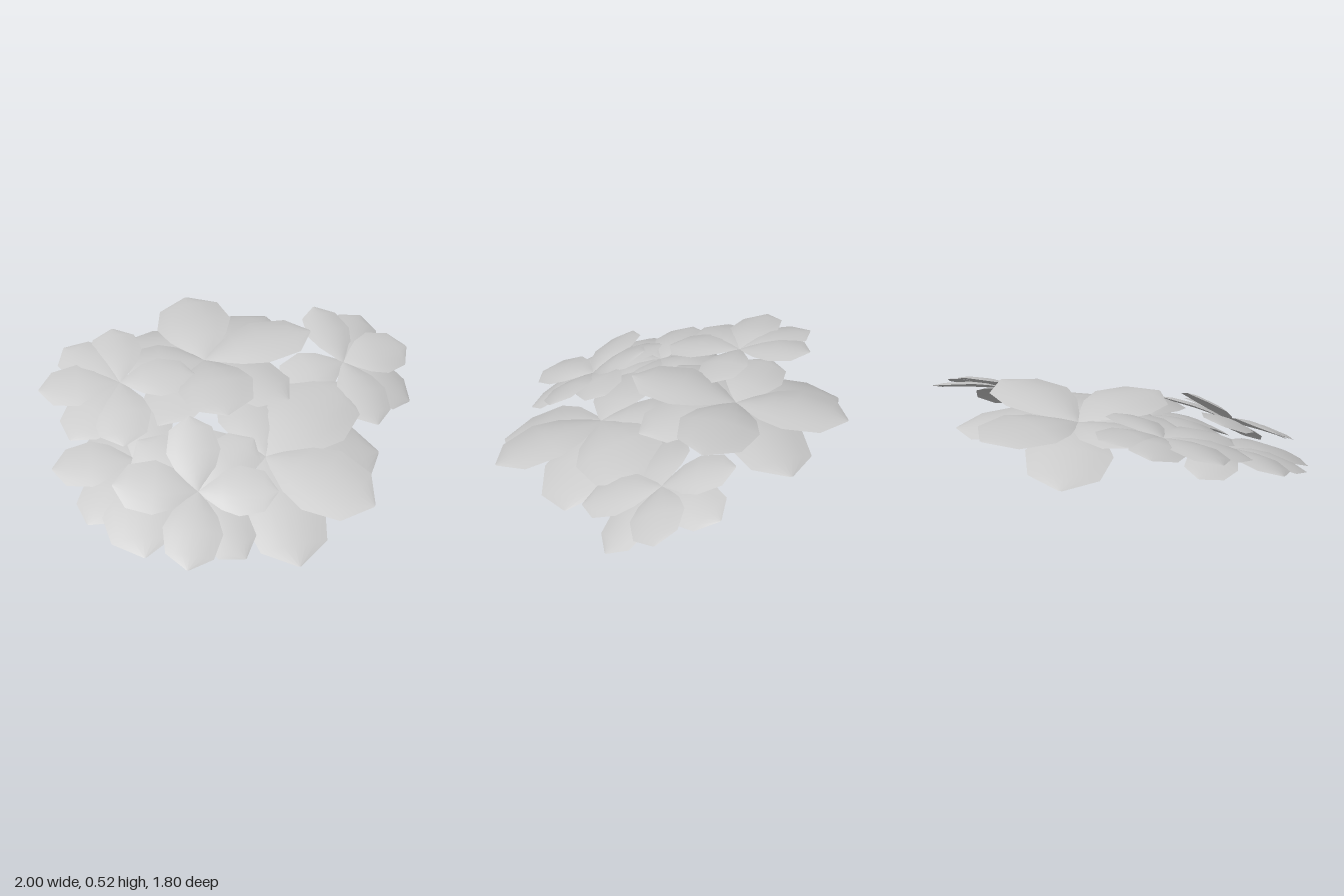
import * as THREE from 'three';

const V = (a) => new THREE.Vector3(...a);

// Each flower: centre, then petal tips in order around it (seen from above, counter-clockwise)
const FLOWERS = {
  backFlower: {
    centre: [-0.08, 0.4, -0.33],
    tips: [[0.49, 0.49, -0.27], [0.4, 0.36, -0.68], [0.01, 0.44, -0.9], [-0.4, 0.28, -0.82],
      [-0.51, 0.4, -0.44], [-0.45, 0.33, 0.04], [-0.15, 0.44, 0.22], [0.22, 0.36, 0.1]],
  },
  frontFlower: {
    centre: [0, 0.24, 0.35],
    tips: [[0.6, 0.13, 0.38], [0.56, 0.33, 0.03], [0.02, 0.36, -0.12], [-0.5, 0.25, 0.23],
      [-0.04, 0.005, 0.9], [0.38, 0.17, 0.8]],
  },
  leftFlower: {
    centre: [0.61, 0.37, -0.1],
    tips: [[1.0, 0.35, -0.15], [0.85, 0.42, -0.42], [0.58, 0.52, -0.44], [0.22, 0.35, -0.04],
      [0.64, 0.22, 0.28], [0.91, 0.18, 0.1]],
  },
  rightBackFlower: {
    centre: [-0.55, 0.41, -0.27],
    tips: [[-0.18, 0.43, -0.18], [-0.48, 0.49, -0.65], [-0.75, 0.45, -0.62], [-0.95, 0.4, -0.36],
      [-0.88, 0.31, -0.02], [-0.65, 0.32, 0.13]],
  },
  rightFlower: {
    centre: [-0.61, 0.25, 0.17],
    tips: [[-0.22, 0.27, 0.2], [-0.4, 0.35, -0.1], [-0.7, 0.22, -0.19], [-1.0, 0.23, 0.07],
      [-0.92, 0.13, 0.41], [-0.72, 0.08, 0.67], [-0.35, 0.17, 0.45]],
  },
  rightFrontFlower: {
    centre: [-0.4, 0.25, 0.5],
    tips: [[-0.05, 0.26, 0.64], [-0.06, 0.36, 0.34], [-0.34, 0.47, 0.2], [-0.59, 0.36, 0.16],
      [-0.78, 0.3, 0.37], [-0.57, 0.1, 0.84], [-0.28, 0.06, 0.82]],
  },
};

// Petal outline: fraction of length, half width as fraction of length
const OUTLINE = [[0, 0.03], [0.12, 0.12], [0.3, 0.26], [0.52, 0.345], [0.83, 0.275], [1, 0.012]];
const COLUMNS = 6;

// Thin petal arched along its length and drooping towards its side edges
function petalGeometry(centre, tip, normal) {
  const axis = tip.clone().sub(centre);
  const length = axis.length();
  const side = axis.clone().cross(normal).normalize();
  const up = side.clone().cross(axis).normalize();
  const positions = [], index = [];
  OUTLINE.forEach(([t, w], r) => {
    for (let c = 0; c <= COLUMNS; c++) {
      const s = (c / COLUMNS) * 2 - 1;
      const lift = length * (0.3 * t * (1 - t) - 0.14 * w * s * s);
      const p = centre.clone().addScaledVector(axis, t)
        .addScaledVector(side, s * w * length).addScaledVector(up, lift);
      positions.push(p.x, p.y, p.z);
      if (r && c) {
        const d = r * (COLUMNS + 1) + c, b = d - COLUMNS - 1;
        index.push(b - 1, b, d, b - 1, d, d - 1);
      }
    }
  });
  const g = new THREE.BufferGeometry();
  g.setAttribute('position', new THREE.Float32BufferAttribute(positions, 3));
  g.setIndex(index);
  g.computeVertexNormals();
  return g;
}

export function createModel() {
  const group = new THREE.Group();
  group.name = 'flowerCluster';
  const material = new THREE.MeshStandardMaterial({ color: 0xcccccc, side: THREE.DoubleSide });
  for (const [name, { centre, tips }] of Object.entries(FLOWERS)) {
    const flower = new THREE.Group();
    flower.name = name;
    const c = V(centre), ends = tips.map(V);
    // Average facing of the flower, from its ring of tips
    const normal = new THREE.Vector3();
    ends.forEach((e, i) => {
      const next = ends[(i + 1) % ends.length];
      normal.add(e.clone().sub(c).cross(next.clone().sub(c)));
    });
    normal.normalize();
    ends.forEach((e, i) => {
      const petal = new THREE.Mesh(petalGeometry(c, e, normal), material);
      petal.name = `petal${i + 1}`;
      flower.add(petal);
    });
    group.add(flower);
  }
  return group;
}
